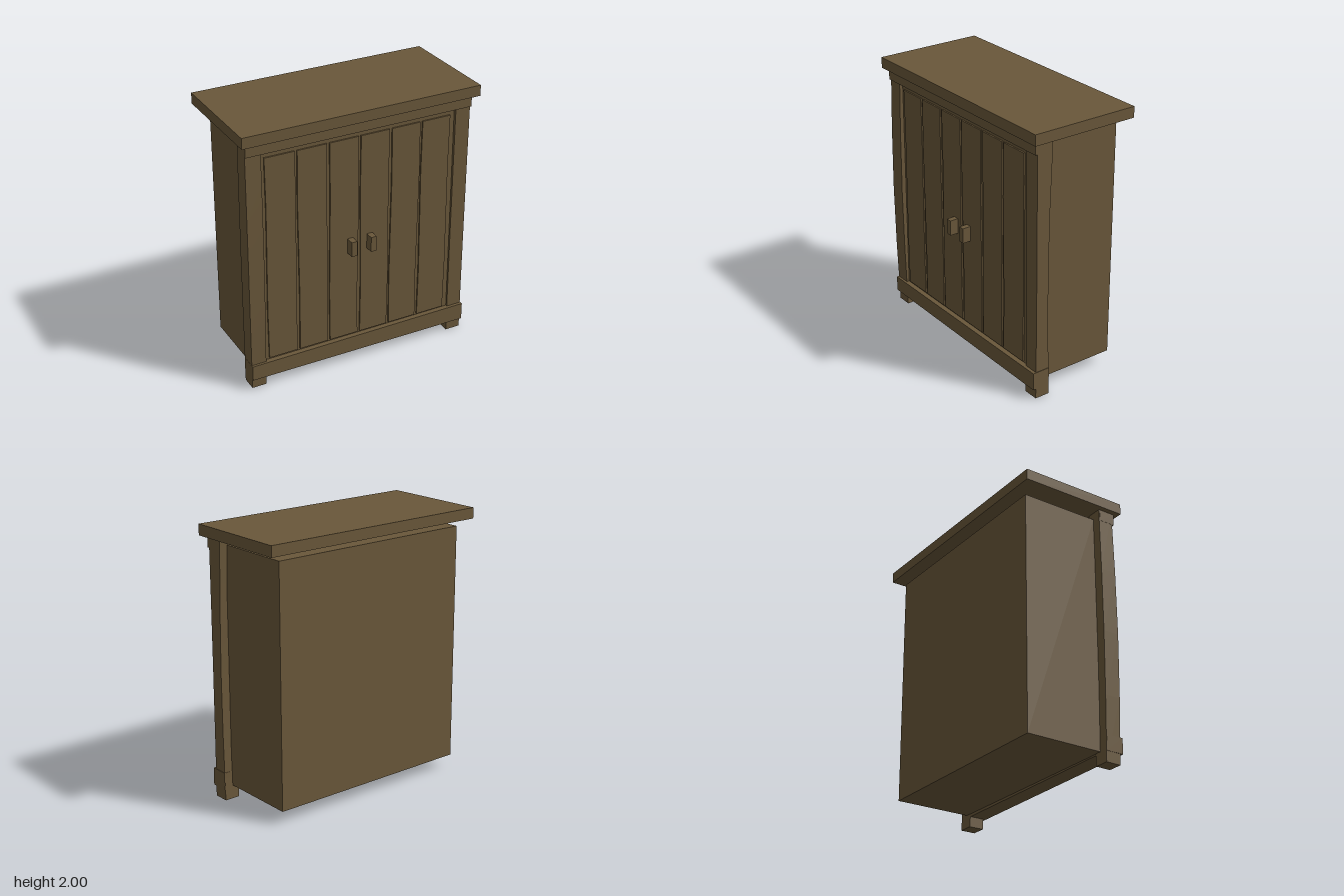
import * as THREE from 'three';

const wood = new THREE.MeshStandardMaterial({ color: 0x69573a });
wood.name = 'brownWood';

// Box given by its extents; bend(v, t) may shift each vertex, t = 0..1 along the bent axis
function slab(name, [x0, x1], [y0, y1], [z0, z1], bend, axis = 'y') {
  const segs = bend ? 4 : 1;
  const g = new THREE.BoxGeometry(x1 - x0, y1 - y0, z1 - z0,
    axis === 'x' ? segs : 1, axis === 'y' ? segs : 1, 1);
  g.translate((x0 + x1) / 2, (y0 + y1) / 2, (z0 + z1) / 2);
  if (bend) {
    const p = g.attributes.position;
    const v = new THREE.Vector3();
    for (let i = 0; i < p.count; i++) {
      v.fromBufferAttribute(p, i);
      const t = axis === 'x' ? (v.x - x0) / (x1 - x0) : (v.y - y0) / (y1 - y0);
      bend(v, t);
      p.setXYZ(i, v.x, v.y, v.z);
    }
    g.computeVertexNormals();
  }
  const mesh = new THREE.Mesh(g, wood);
  mesh.name = name;
  return mesh;
}

export function createModel() {
  const cabinet = new THREE.Group();
  cabinet.name = 'cabinet';
  const bow = (t) => Math.sin(Math.PI * t);

  // Carcass and overhanging top
  cabinet.add(slab('carcass', [-0.8, 0.8], [0.1, 1.87], [-0.35, 0.245]));
  cabinet.add(slab('top', [-0.905, 0.905], [1.92, 2], [-0.41, 0.41]));

  // Hand-hewn corner posts that double as front legs
  cabinet.add(slab('leftPost', [0.75, 0.865], [0, 1.92], [0.235, 0.35], (v, t) => {
    v.x -= 0.006 * t;
    if (v.z < 0.3) v.z += 0.022 * bow(t) - 0.005 * t;
    else v.z += 0.008 * t - 0.003 * bow(t);
  }));
  cabinet.add(slab('rightPost', [-0.865, -0.755], [0.01, 1.92], [0.235, 0.35], (v, t) => {
    if (v.x < -0.8) v.x -= 0.006 * bow(t);
    else v.x += 0.004 * t;
    v.z += (v.z > 0.3 ? 0.016 : 0.008) * bow(t) + 0.008 * t;
  }));

  // Base board and frieze between the posts
  cabinet.add(slab('baseBoard', [-0.868, 0.868], [0.09, 0.205], [0.24, 0.374], (v, t) => {
    if (v.y < 0.15) v.y -= 0.012 * t;
    else v.y += 0.005 * t;
  }, 'x'));
  cabinet.add(slab('frieze', [-0.867, 0.86], [1.835, 1.92], [0.25, 0.374]));

  // Recessed door backing with six planks
  cabinet.add(slab('doorBacking', [-0.76, 0.76], [0.15, 1.86], [0.24, 0.335]));
  for (let i = 0; i < 6; i++) {
    const x = -0.722 + i * 0.2415;
    const s = i % 2 ? 1 : -1;
    cabinet.add(slab('doorPlank' + (i + 1), [x, x + 0.222], [0.22, 1.79], [0.33, 0.346], (v, t) => {
      v.x += 0.004 * s * Math.sin(2 * Math.PI * t);
    }));
  }

  // Pulls either side of the middle seam
  cabinet.add(slab('rightHandle', [-0.101, -0.058], [0.905, 1.02], [0.34, 0.41]));
  cabinet.add(slab('leftHandle', [0.053, 0.096], [0.905, 1.02], [0.34, 0.41]));
  return cabinet;
}
